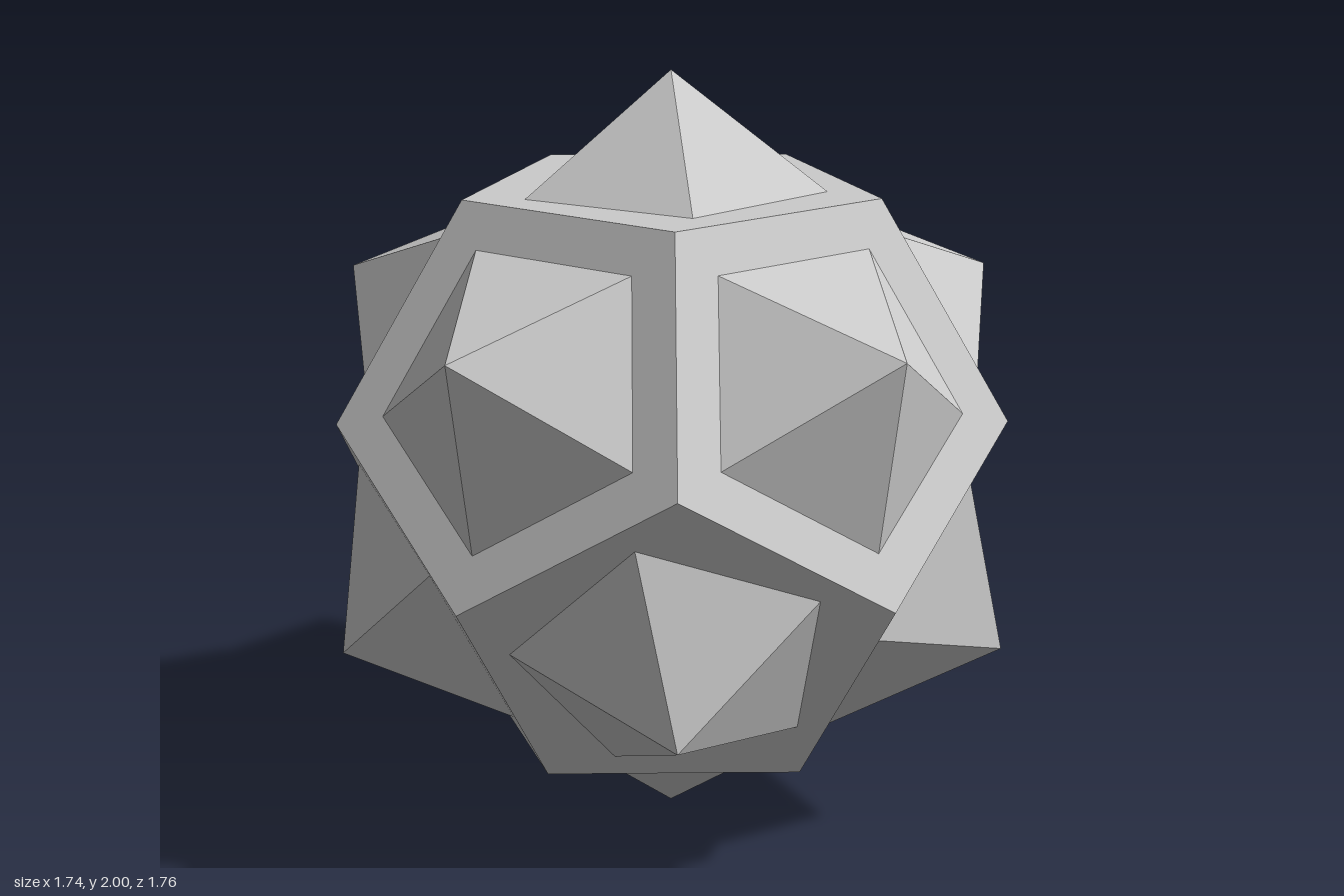
import * as THREE from 'three';
import { ConvexGeometry } from 'three/addons/geometries/ConvexGeometry.js';

const DEG = Math.PI / 180;
const INRADIUS = 0.708;                      // centre to each pentagon
const CIRCUM = INRADIUS * 1.2584;            // centre to each corner
const TILT = Math.atan(0.5);                 // elevation of the side faces
const TURN = -6.5 * DEG;                     // turn of the body about y

export function createModel() {
  const model = new THREE.Group();
  model.name = 'spikedDodecahedron';
  const material = new THREE.MeshStandardMaterial({ color: 0xcccccc, flatShading: true });

  // Dodecahedron body: four rings of five corners
  const corners = [];
  const addRing = (y, start) => {
    const r = Math.sqrt(CIRCUM * CIRCUM - y * y);
    for (let i = 0; i < 5; i++) {
      const a = start + i * 72 * DEG;
      corners.push(new THREE.Vector3(r * Math.sin(a), y, r * Math.cos(a)));
    }
  };
  const mid = CIRCUM * 0.1876;
  addRing(INRADIUS, TURN + 36 * DEG);
  addRing(mid, TURN + 36 * DEG);
  addRing(-mid, TURN);
  addRing(-INRADIUS, TURN);
  const body = new THREE.Mesh(new ConvexGeometry(corners), material);
  body.name = 'body';
  model.add(body);

  // Five-sided pyramid standing on the face at the given elevation and azimuth
  const addSpike = (name, elevation, azimuth, twist, tip) => {
    const height = tip - INRADIUS;
    const geometry = new THREE.ConeGeometry(0.396, height, 5, 1, true);
    geometry.rotateX(Math.PI / 2);
    geometry.rotateZ(twist);
    geometry.translate(0, 0, INRADIUS + height / 2);
    const spike = new THREE.Mesh(geometry, material);
    spike.name = name;
    spike.rotation.set(-elevation, azimuth, 0, 'YXZ');
    model.add(spike);
  };

  addSpike('topSpike', Math.PI / 2, 0, Math.PI, 1);
  addSpike('bottomSpike', -Math.PI / 2, 0, Math.PI, 1);
  for (let i = 0; i < 5; i++) {
    const a = TURN + i * 72 * DEG;
    addSpike(`upperSpike${i + 1}`, TILT, a, 0, 0.99);
    addSpike(`lowerSpike${i + 1}`, -TILT, a + 36 * DEG, Math.PI + 14 * DEG, 0.99);
  }

  model.position.set(-0.008, 1, 0.002);
  return model;
}
